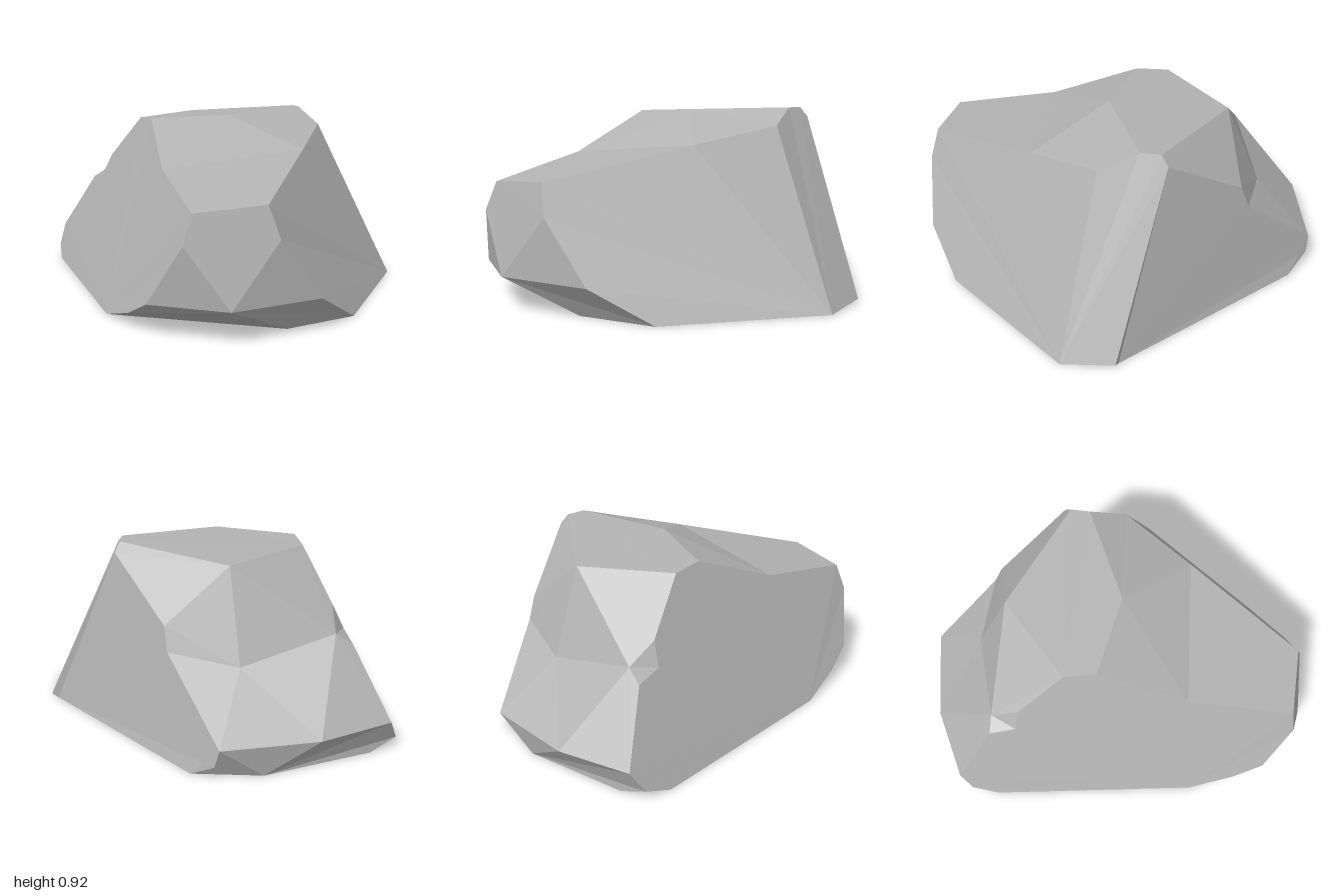
import * as THREE from 'three';

const p = (x, y, z) => new THREE.Vector3(x, y, z);
const CENTRE = p(0, 0.35, 0);

// Turns flat polygons into fans of triangles that face away from the rock's centre.
function facets(name, polygons, material) {
  const pts = [];
  for (const poly of polygons) {
    for (let i = 1; i < poly.length - 1; i++) {
      const tri = new THREE.Triangle(poly[0], poly[i], poly[i + 1]);
      const out = tri.getMidpoint(p(0, 0, 0)).sub(CENTRE);
      const faces = tri.getNormal(p(0, 0, 0)).dot(out) > 0;
      pts.push(tri.a, faces ? tri.b : tri.c, faces ? tri.c : tri.b);
    }
  }
  const geometry = new THREE.BufferGeometry().setFromPoints(pts);
  geometry.computeVertexNormals();
  const mesh = new THREE.Mesh(geometry, material);
  mesh.name = name;
  return mesh;
}

export function createModel() {
  const stone = new THREE.MeshStandardMaterial({ color: 0xb2b2b2, flatShading: true });
  stone.name = 'grey stone';

  // Foot corners, standing on the ground
  const footLeft = p(-0.88, 0, 0.1), footFront = p(0, 0, 0.73), footNose = p(0.82, 0, 0.42);
  const footSide = p(1, 0, 0.08), footBack = p(0.85, 0, -0.73), footHeel = p(0.62, 0, -0.88);
  const footTail = p(-0.47, 0, -0.87), footCorner = p(-0.72, 0, -0.64), footWest = p(-0.93, 0, -0.13);

  // Low corners above the undercut
  const lowFront = p(0.22, 0.08, 0.84), lowNoseA = p(0.37, 0.165, 0.9), lowNoseB = p(0.74, 0.165, 0.78);
  const lowSide = p(0.975, 0.165, 0.38), lowHeel = p(0.65, 0.02, -0.9), lowTail = p(-0.61, 0.08, -0.845);
  const lowCorner = p(-0.63, 0.165, -0.83), lowLeft = p(-0.89, 0.165, -0.44);
  const lowWest = p(-1, 0.165, -0.07), lowTip = p(-0.98, 0.055, 0);

  // Nose corners
  const noseTop = p(0.56, 0.585, 0.82), noseMid = p(0.55, 0.45, 0.875);
  const browTop = p(0.8, 0.61, 0.58), browMid = p(0.86, 0.46, 0.57);

  // Crown corners
  const crownWest = p(-0.32, 0.875, 0.03), crownFront = p(-0.18, 0.885, 0.12), crownMid = p(0.16, 0.905, -0.12);
  const crownEast = p(0.32, 0.92, -0.61), crownTip = p(0.25, 0.918, -0.68), crownBack = p(-0.32, 0.875, -0.47);
  const backTop = p(0.24, 0.87, -0.72), eastTop = p(0.49, 0.84, -0.52);
  const eastMid = p(0.61, 0.755, -0.11), slopeFront = p(0.14, 0.685, 0.46);

  // Hollow and small chip on the left side
  const hollow = p(-0.48, 0.436, -0.56), backEdgeA = p(-0.18, 0.615, -0.76), backEdgeB = p(-0.22, 0.5, -0.78);
  const chipLow = p(-0.75, 0.49, -0.07), chipIn = p(-0.69, 0.545, -0.13);
  const chipFront = p(-0.63, 0.52, 0), chipTop = p(-0.58, 0.64, -0.03);

  const rock = new THREE.Group();
  rock.name = 'rock';
  rock.add(
    facets('frontFace', [[footFront, lowFront, lowNoseA, noseMid, noseTop, slopeFront, crownFront, crownWest,
      chipTop, chipFront, chipLow, lowWest, lowTip, footLeft]], stone),
    facets('sideFace', [[footBack, footSide, lowSide, browMid, browTop, eastMid, eastTop]], stone),
    facets('backFace', [[footHeel, footTail, lowTail, lowCorner, backEdgeB, backEdgeA, backTop, lowHeel]], stone),
    facets('backCorner', [[footBack, lowHeel, backTop, crownTip, crownEast, eastTop],
      [footBack, lowHeel, footHeel]], stone),
    facets('crown', [[crownWest, crownFront, crownMid, crownEast, crownTip, crownBack],
      [crownBack, crownTip, backTop, backEdgeA]], stone),
    facets('frontSlope', [[crownMid, crownFront, slopeFront, eastMid], [crownMid, eastMid, eastTop, crownEast],
      [slopeFront, noseTop, browTop, eastMid]], stone),
    facets('nose', [[noseTop, noseMid, lowNoseB, browMid, browTop], [noseMid, lowNoseA, lowNoseB],
      [lowNoseB, lowSide, browMid]], stone),
    facets('leftSlope', [[crownBack, crownWest, chipIn], [crownBack, chipIn, hollow],
      [crownBack, hollow, backEdgeA], [hollow, backEdgeA, backEdgeB], [hollow, backEdgeB, lowCorner],
      [hollow, lowCorner, lowLeft], [hollow, lowLeft, chipIn], [chipIn, lowLeft, lowWest]], stone),
    facets('chip', [[crownWest, chipTop, chipIn], [chipTop, chipFront, chipIn],
      [chipFront, chipLow, chipIn], [chipLow, lowWest, chipIn]], stone),
    facets('undercut', [[lowNoseB, lowNoseA, lowFront, footFront, footNose], [lowNoseB, footNose, footSide, lowSide],
      [lowCorner, lowTail, footTail, footCorner], [lowCorner, lowLeft, footCorner],
      [footCorner, lowLeft, lowWest, lowTip, footWest], [lowTip, footLeft, footWest]], stone),
    facets('base', [[footLeft, footFront, footNose, footSide, footBack, footHeel, footTail,
      footCorner, footWest]], stone),
  );
  return rock;
}
